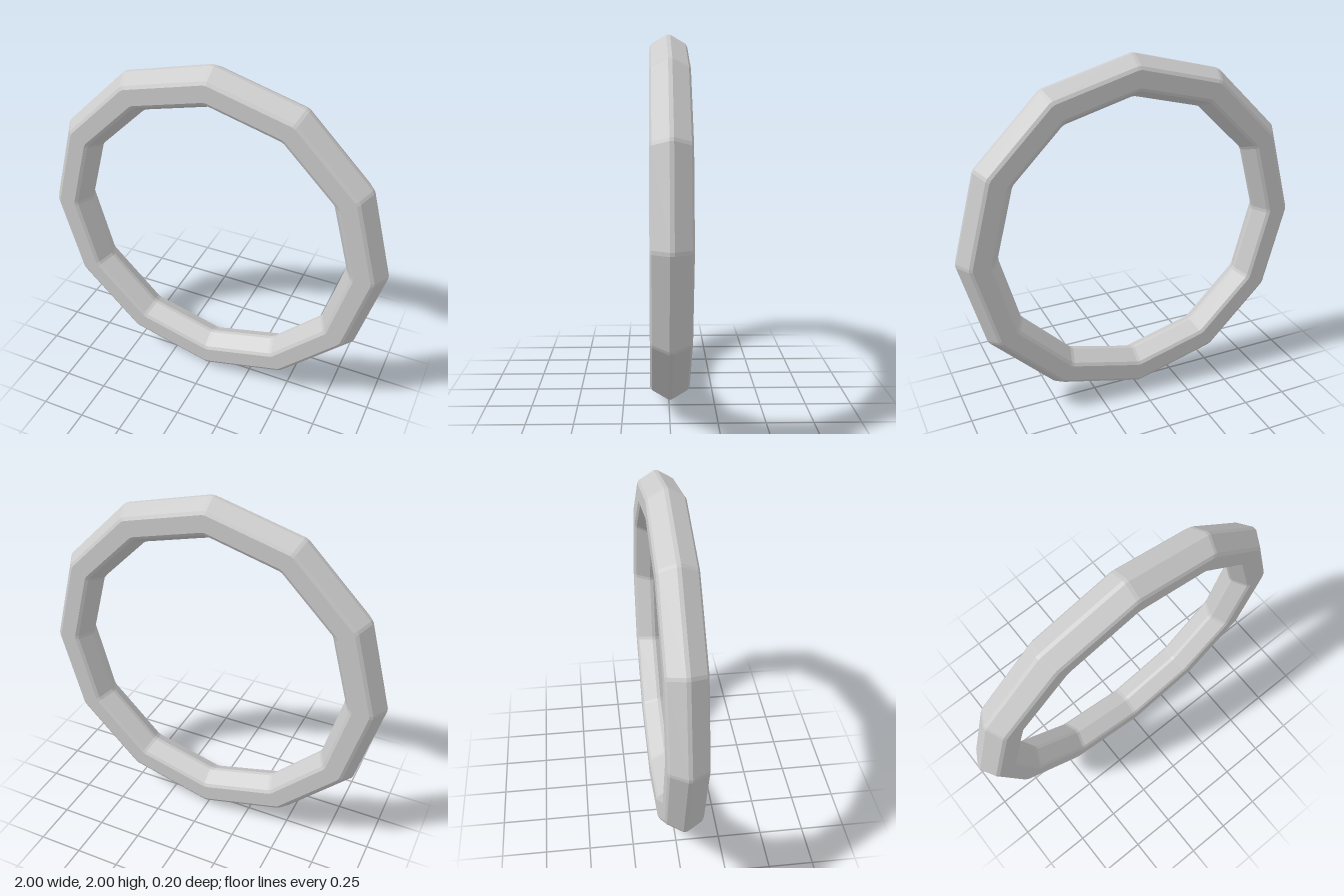
import * as THREE from 'three';

const SIDES = 12;      // straight segments around the ring
const CENTRE = 0.89;   // radius of the tube's centre line at the mitres
const TUBE = 0.118;    // hexagon corner radius before bevelling
const BEVEL = 0.012;   // distance cut back along the hexagon's sides
const SEAM = 0.01;     // distance cut back along each segment at the mitres

// Hexagonal tube section with every corner cut: [radius, z]
function bevelledHexagon() {
  const corner = (i) => new THREE.Vector2(
    TUBE * Math.cos(i * Math.PI / 3), TUBE * Math.sin(i * Math.PI / 3));
  const points = [];
  for (let i = 0; i < 6; i++) {
    for (const side of [-1, 1]) {
      const p = corner(i).lerp(corner(i + side), BEVEL / TUBE);
      points.push([CENTRE + p.x, p.y]);
    }
  }
  return points;
}

// Cross-sections lie just before and just after each mitre, along the chords
function ringSections(profile) {
  const sections = [];
  const step = 2 * Math.PI / SIDES;
  for (let k = 0; k < SIDES; k++) {
    const a = k * step;
    for (const side of [-1, 1]) {
      const chord = a + side * (Math.PI / 2 + step / 2);
      sections.push(profile.map(([r, z]) => [
        r * Math.cos(a) + SEAM * Math.cos(chord),
        r * Math.sin(a) + SEAM * Math.sin(chord),
        z,
      ]));
    }
  }
  return sections;
}

export function createModel() {
  const sections = ringSections(bevelledHexagon());
  const positions = [];
  const n = sections.length;
  const m = sections[0].length;
  for (let i = 0; i < n; i++) {
    const s = sections[i], t = sections[(i + 1) % n];
    for (let j = 0; j < m; j++) {
      const k = (j + 1) % m;
      positions.push(...s[j], ...t[j], ...t[k], ...s[j], ...t[k], ...s[k]);
    }
  }
  const geometry = new THREE.BufferGeometry();
  geometry.setAttribute('position', new THREE.Float32BufferAttribute(positions, 3));
  geometry.computeVertexNormals();

  // Twelve-sided ring, standing upright
  const ring = new THREE.Mesh(geometry,
    new THREE.MeshStandardMaterial({ color: 0xcccccc, flatShading: true }));
  ring.name = 'ring';
  geometry.computeBoundingBox();
  ring.position.y = -geometry.boundingBox.min.y;

  const model = new THREE.Group();
  model.name = 'bevelledRing';
  model.add(ring);
  return model;
}
